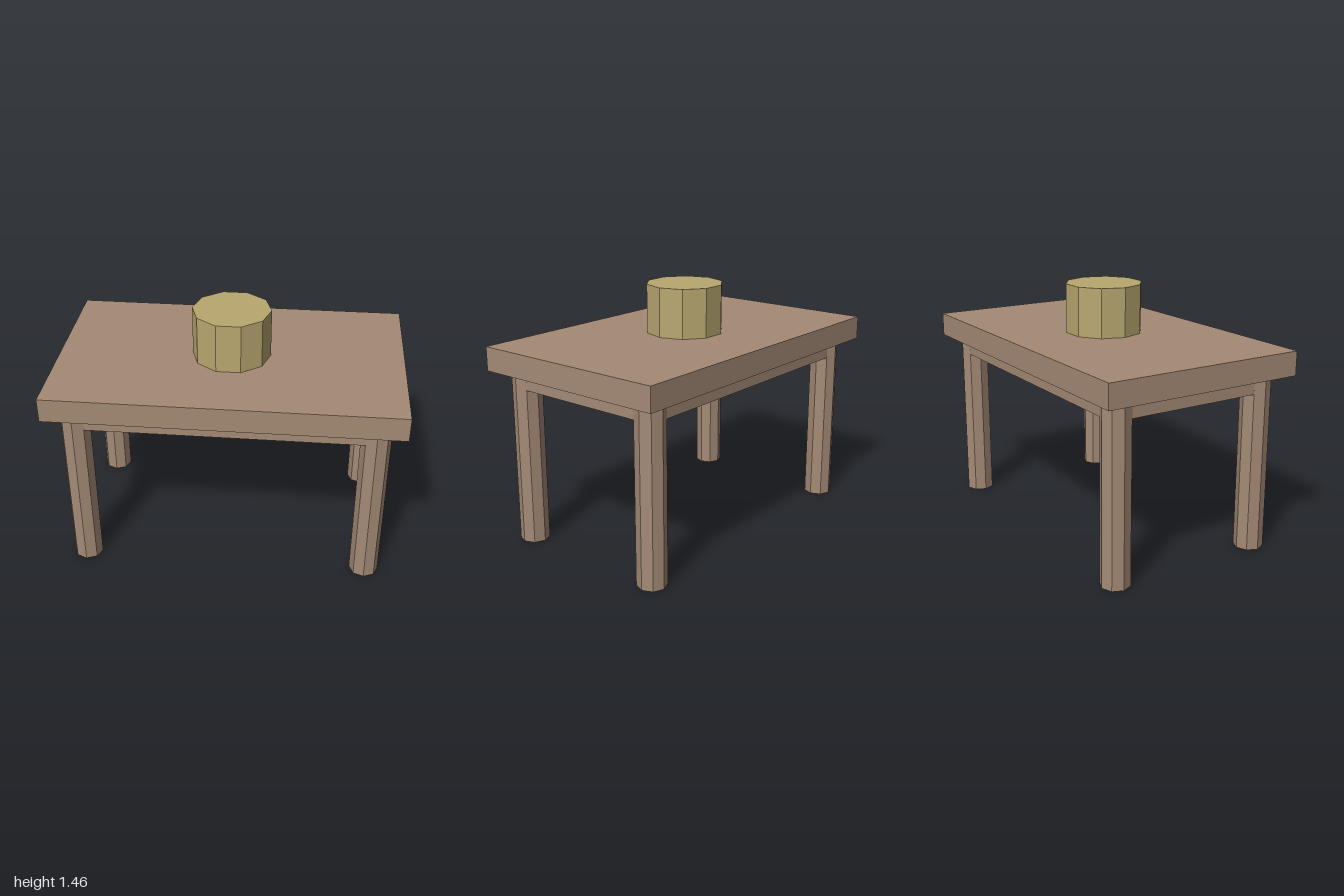
import * as THREE from 'three';

export function createModel() {
  const wood = new THREE.MeshStandardMaterial({ color: 0xa48a75, flatShading: true });
  wood.name = 'brown wood';
  const straw = new THREE.MeshStandardMaterial({ color: 0xb8a76f, flatShading: true });
  straw.name = 'straw yellow';

  const table = new THREE.Group();
  table.name = 'table';

  // Adds a part whose base sits at height y
  function add(name, geometry, material, x, y, z) {
    geometry.computeBoundingBox();
    const mesh = new THREE.Mesh(geometry, material);
    mesh.name = name;
    mesh.position.set(x, y - geometry.boundingBox.min.y, z);
    table.add(mesh);
    return mesh;
  }

  // Slab top and the solid apron block below it
  add('tableTop', new THREE.BoxGeometry(2, 0.14, 1.214), wood, 0, 1.033, 0);
  add('apron', new THREE.BoxGeometry(1.8, 0.1, 1.044), wood, 0, 0.933, 0);

  // Four octagonal legs, a corner of each octagon on every axis
  const legGeometry = new THREE.CylinderGeometry(0.085, 0.085, 1.033, 8);
  for (const [side, x] of [['Left', 0.84], ['Right', -0.84]]) {
    for (const [end, z] of [['front', 0.462], ['back', -0.462]]) {
      add(`${end}${side}Leg`, legGeometry, wood, x, 0, z);
    }
  }

  // Ten-sided drum standing on the middle of the table
  const drumGeometry = new THREE.CylinderGeometry(0.228, 0.228, 0.289, 10);
  drumGeometry.rotateY(Math.PI / 2);
  add('drum', drumGeometry, straw, 0, 1.173, 0);

  return table;
}
